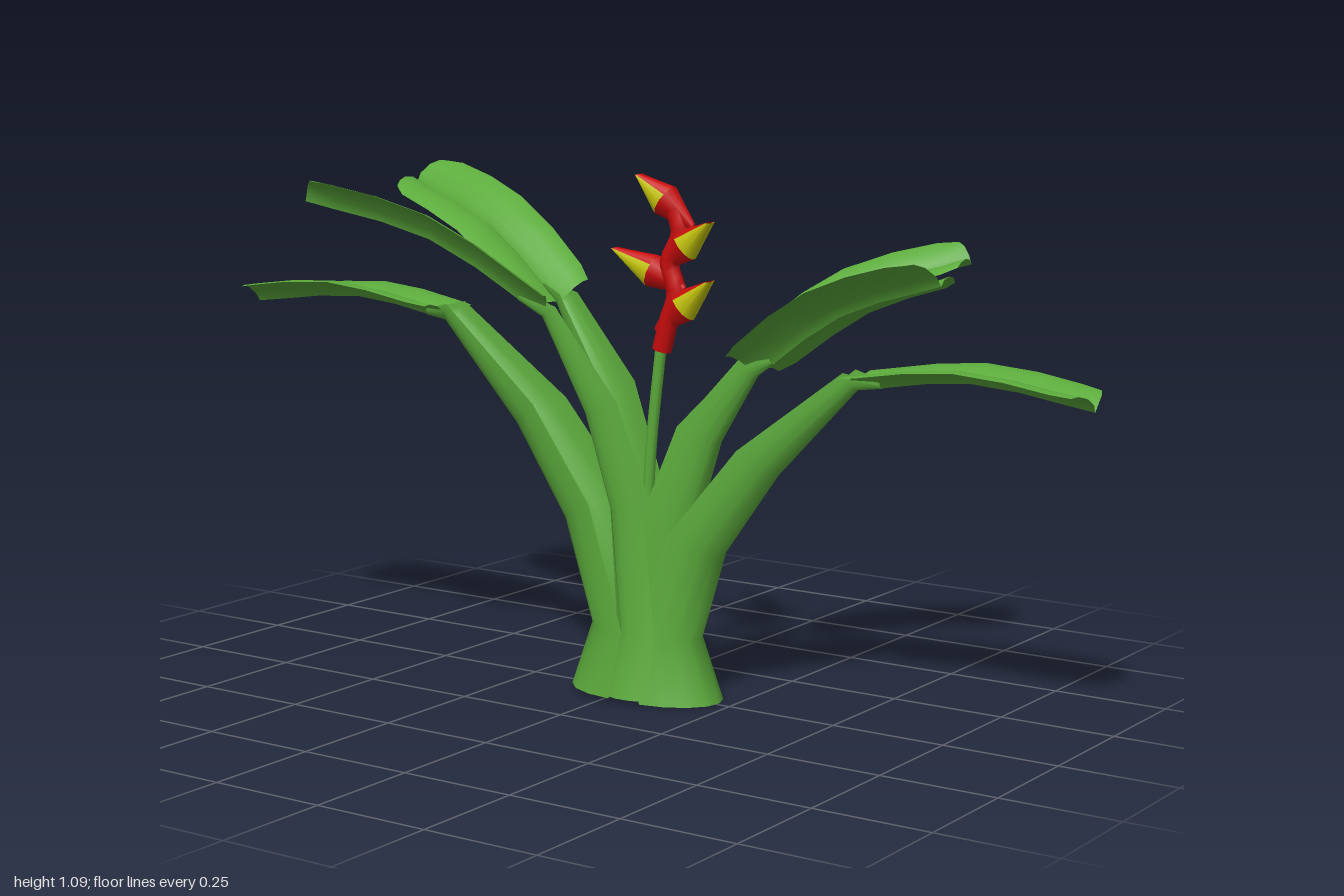
import * as THREE from 'three';
import { mergeGeometries } from 'three/addons/utils/BufferGeometryUtils.js';

const V = (p) => new THREE.Vector3(...p);
const UP = new THREE.Vector3(0, 1, 0);

// Surface swept through rings of points, front face upward/inward
function skin(rings) {
  const pos = [], idx = [], n = rings[0].length;
  rings.forEach((ring) => ring.forEach((p) => pos.push(p.x, p.y, p.z)));
  for (let i = 0; i < rings.length - 1; i++) {
    for (let j = 0; j < n - 1; j++) {
      const a = i * n + j, b = a + 1, c = a + n, d = c + 1;
      idx.push(a, b, c, b, d, c);
    }
  }
  const g = new THREE.BufferGeometry();
  g.setAttribute('position', new THREE.Float32BufferAttribute(pos, 3));
  g.setIndex(idx);
  g.computeVertexNormals();
  return g;
}

// Upward normal of a section with side vector S and tangent T
const normalOf = (S, T) => new THREE.Vector3().crossVectors(S, T).normalize();

// Open U-shaped leaf stalk along its outer spine, running out under the blade
function stalkGeometry(spine, bladeMiddle, S, width, depth) {
  const points = spine.map(V);
  points.push(points[4].clone().lerp(V(bladeMiddle), 0.22));
  const curve = new THREE.CatmullRomCurve3(points);
  const hw = [1.1, 0.9, 0.82, 0.65, 0.35, 0.12], dp = [1, 0.8, 0.75, 0.62, 0.3, 0.1];
  return skin(points.map((point, i) => {
    const N = normalOf(S, curve.getTangent(i / 5));
    if (i === 0) N.setY(0).normalize();
    const ring = [];
    for (let j = 0; j <= 8; j++) {
      const a = (j / 8 - 0.5) * Math.PI;
      ring.push(point.clone().addScaledVector(S, width * hw[i] * Math.sin(a))
        .addScaledVector(N, depth * dp[i] * (1 - Math.cos(a))));
    }
    return ring;
  }));
}

// Gull-wing blade in two halves with a sharp valley along the midrib
function bladeGeometry(mid, S, width) {
  const curve = new THREE.CatmullRomCurve3(mid.map(V));
  const stations = [[0, 0.82], [0.08, 0.95], [0.3, 1], [0.5, 1], [0.7, 1], [0.88, 0.96], [1, 0.78]];
  const half = [[0, 0], [0.15, 0.016], [0.5, 0.03], [0.8, 0.034], [1, 0.03]];
  const sections = [half.map(([u, v]) => [-u, v]).reverse(), half];
  return mergeGeometries(sections.map((section) => skin(stations.map(([t, w]) => {
    const p = curve.getPoint(t), T = curve.getTangent(t), N = normalOf(S, T);
    const setback = t === 1 ? 0.025 : 0;
    return section.map(([u, v]) => p.clone().addScaledVector(S, u * w * width)
      .addScaledVector(N, v).addScaledVector(T, -setback * u * u));
  }))));
}

export function createModel() {
  const model = new THREE.Group();
  const material = (name, color) => {
    const m = new THREE.MeshStandardMaterial({ color, side: THREE.DoubleSide });
    m.name = name;
    return m;
  };
  const green = material('leafGreen', 0x5cab3c);
  const red = material('bractRed', 0xc80c0c);
  const yellow = material('bractYellow', 0xc6c60c);

  const add = (parent, name, geometry, mat) => {
    const mesh = new THREE.Mesh(geometry, mat);
    mesh.name = name;
    parent.add(mesh);
  };

  // Leaves: stalk spine, the blade's middle and tip, sizes, and sideways roll of the blade
  const leaves = [
    { name: 'lowRightLeaf', w: 0.09, d: 0.15, bw: 0.108, roll: -0.1,
      spine: [[-0.12, 0.01, 0.02], [-0.07, 0.15, 0.02], [-0.14, 0.36, 0.02], [-0.26, 0.55, 0.03], [-0.45, 0.76, 0.04]],
      blade: [[-0.7, 0.795, 0.04], [-1, 0.765, 0.035]] },
    { name: 'backRightLeaf', w: 0.07, d: 0.13, bw: 0.095, roll: 0.36,
      spine: [[-0.07, 0.01, -0.02], [-0.03, 0.15, -0.02], [-0.05, 0.4, -0.02], [-0.11, 0.62, -0.03], [-0.22, 0.8, -0.055]],
      blade: [[-0.45, 0.955, -0.11], [-0.71, 1.035, -0.18]] },
    { name: 'frontRightLeaf', w: 0.05, d: 0.1, bw: 0.095, roll: -0.36,
      spine: [[0, 0.01, 0.09], [0.02, 0.15, 0.065], [0, 0.4, 0.07], [-0.05, 0.6, 0.09], [-0.13, 0.8, 0.13]],
      blade: [[-0.35, 0.955, 0.225], [-0.59, 1.03, 0.335]] },
    { name: 'backLeftLeaf', w: 0.05, d: 0.09, bw: 0.078, roll: -0.36,
      spine: [[0.12, 0.01, -0.05], [0.11, 0.15, -0.04], [0.13, 0.4, -0.05], [0.17, 0.58, -0.08], [0.23, 0.71, -0.13]],
      blade: [[0.39, 0.84, -0.23], [0.605, 0.91, -0.355]] },
    { name: 'frontLeftLeaf', w: 0.07, d: 0.13, bw: 0.105, roll: 0.28,
      spine: [[0.17, 0.01, 0.01], [0.14, 0.15, 0.01], [0.16, 0.35, 0.01], [0.22, 0.55, 0], [0.31, 0.695, 0]],
      blade: [[0.52, 0.835, 0.03], [0.765, 0.915, 0.07]] },
    { name: 'lowLeftLeaf', w: 0.085, d: 0.14, bw: 0.1, roll: 0.03,
      spine: [[0.22, 0, -0.01], [0.17, 0.13, -0.01], [0.22, 0.31, -0.02], [0.34, 0.49, -0.04], [0.5, 0.675, -0.08]],
      blade: [[0.74, 0.705, -0.105], [1, 0.67, -0.12]] },
  ];
  for (const { name, w, d, bw, roll, spine, blade } of leaves) {
    const leaf = new THREE.Group();
    leaf.name = name;
    const side = V(blade[1]).sub(V(spine[4])).setY(0).normalize().cross(UP);
    const rolled = side.clone().addScaledVector(UP, roll).normalize();
    add(leaf, 'leafStalk', stalkGeometry(spine, blade[0], side, w, d), green);
    add(leaf, 'leafBlade', bladeGeometry([spine[4], ...blade], rolled, bw), green);
    model.add(leaf);
  }

  // Flower stalk and zigzag spike
  const flower = new THREE.Group();
  flower.name = 'flower';
  flower.position.z = -0.012;
  const tube = (pts, r) => new THREE.TubeGeometry(
    new THREE.CatmullRomCurve3(pts.map(([x, y]) => new THREE.Vector3(x, y, 0))), 16, r, 8);
  add(flower, 'flowerStalk', tube([[0.05, 0.02], [0.035, 0.3], [0.045, 0.52], [0.07, 0.74]], 0.012), green);
  add(flower, 'flowerSpike', tube([[0.072, 0.73], [0.088, 0.79], [0.108, 0.85], [0.09, 0.91], [0.118, 0.975], [0.105, 1.02]], 0.021), red);

  // Boat-shaped bracts: red back and upper side, yellow lower side
  const bracts = [
    [0.125, 0.825, 0.19, 0.88], [0.05, 0.893, -0.045, 0.935],
    [0.128, 0.95, 0.19, 1.0], [0.08, 1.04, 0.015, 1.09],
  ];
  const r = 0.036, redArc = 2.1;
  for (const [x, y, tx, ty] of bracts) {
    const bract = new THREE.Group();
    bract.name = 'bract';
    const len = Math.hypot(tx - x, ty - y);
    bract.position.set(x, y, 0);
    bract.rotation.z = Math.atan2(ty - y, tx - x) - Math.PI / 2;
    bract.scale.z = 0.75;
    const start = (tx > x ? -Math.PI / 2 : Math.PI / 2) - redArc / 2;
    // Tip pinched to a short upright edge
    const hull = (from, arc) => {
      const g = new THREE.CylinderGeometry(r * 0.6, r, len, 8, 1, true, from, arc).translate(0, len / 2, 0);
      const p = g.attributes.position;
      for (let i = 0; i < p.count; i++) if (p.getY(i) > len / 2) p.setX(i, p.getX(i) * 0.08);
      return g;
    };
    add(bract, 'bractTop', hull(start, redArc), red);
    add(bract, 'bractUnderside', hull(start + redArc, Math.PI * 2 - redArc), yellow);
    add(bract, 'bractBase', new THREE.CylinderGeometry(r, 0.008, 0.085, 10).translate(0, -0.0425, 0), red);
    flower.add(bract);
  }
  model.add(flower);
  return model;
}
